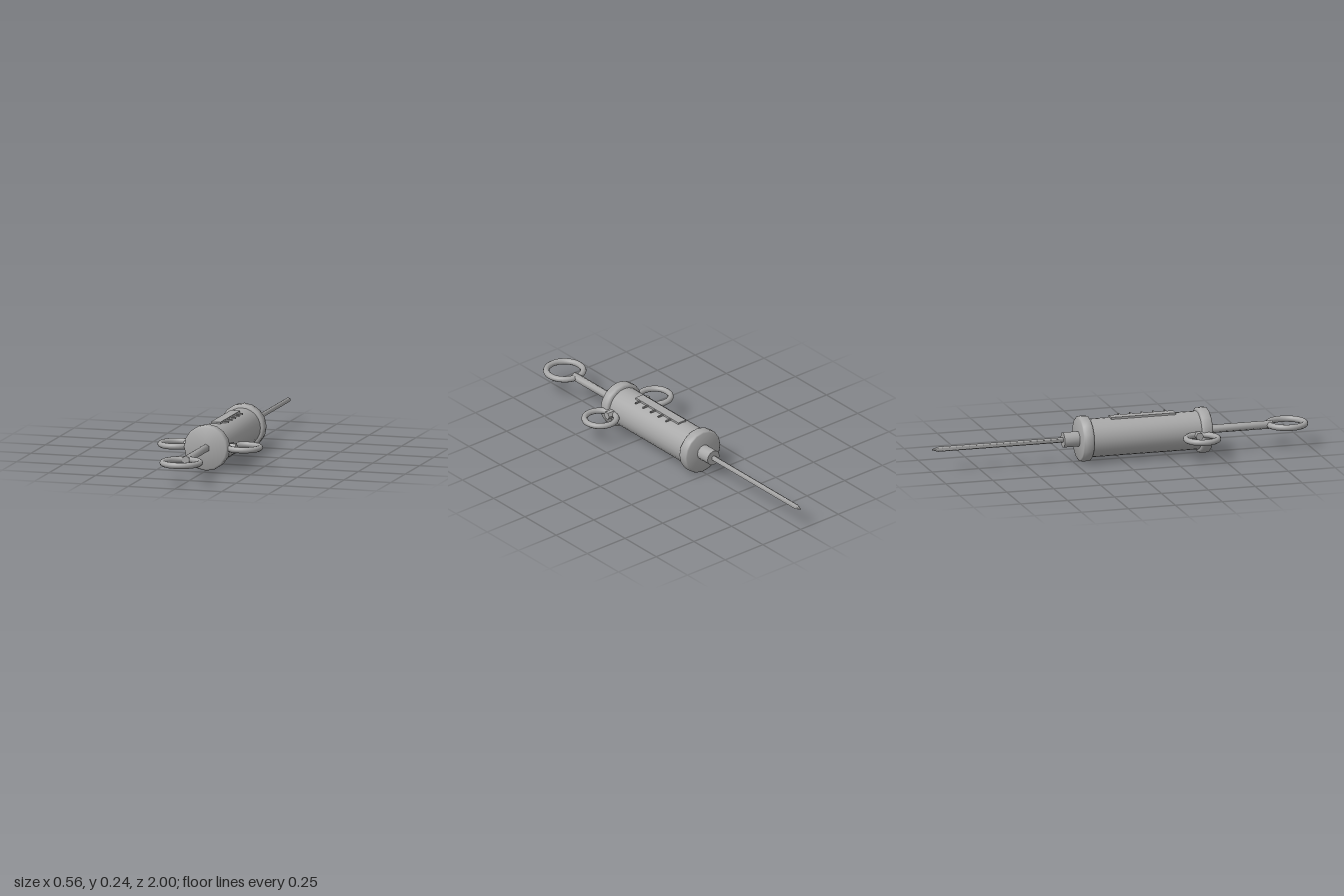
import * as THREE from 'three';
import { toCreasedNormals } from 'three/addons/utils/BufferGeometryUtils.js';

const AXIS_Y = 0.118;

export function createModel() {
  const model = new THREE.Group();
  model.name = 'syringe';
  const grey = new THREE.MeshStandardMaterial({ color: 0xa8a8a8 });
  grey.name = 'grey metal';

  const add = (name, geometry, x = 0, y = AXIS_Y, z = 0) => {
    const mesh = new THREE.Mesh(geometry, grey);
    mesh.name = name;
    mesh.position.set(x, y, z);
    model.add(mesh);
    return mesh;
  };

  // Turned part along z, from [radius, z] pairs in rising z
  const turned = (name, profile, sides) => {
    const points = profile.map(([r, z]) => new THREE.Vector2(r, z));
    const geometry = new THREE.LatheGeometry(points, sides).rotateX(Math.PI / 2);
    return add(name, toCreasedNormals(geometry, 1.1));
  };

  // Flange with softened rims
  const flange = (name, z0, z1) => turned(name, [
    [0, z0], [0.108, z0], [0.115, z0 + 0.004], [0.118, z0 + 0.011],
    [0.118, z1 - 0.011], [0.115, z1 - 0.004], [0.108, z1], [0, z1],
  ], 16);

  // Ring lying flat
  const ring = (name, x, z, radius, tube) =>
    add(name, new THREE.TorusGeometry(radius, tube, 10, 32).rotateX(Math.PI / 2), x, AXIS_Y, z);

  // Barrel and end flanges
  turned('barrel', [[0, -0.19], [0.099, -0.19], [0.099, 0.44], [0, 0.44]], 24);
  flange('frontFlange', -0.222, -0.165);
  flange('rearFlange', 0.41, 0.467);

  // Nozzle and pointed needle
  turned('nozzle', [[0, -0.303], [0.04, -0.303], [0.04, -0.2], [0, -0.2]], 12);
  turned('needle', [[0, -1], [0.003, -1], [0.0135, -0.965], [0.0135, -0.29], [0, -0.29]], 6);

  // Plunger rod and thumb ring
  turned('plungerRod', [[0, 0.45], [0.022, 0.45], [0.022, 0.812], [0, 0.812]], 6);
  ring('thumbRing', 0, 0.889, 0.095, 0.016);

  // Finger rings with their short mounts
  for (const side of [1, -1]) {
    const label = side > 0 ? 'left' : 'right';
    ring(label + 'FingerRing', side * 0.18, 0.386, 0.082, 0.0155);
    const mount = new THREE.CylinderGeometry(0.021, 0.021, 0.06, 6).rotateZ(Math.PI / 2);
    add(label + 'RingMount', toCreasedNormals(mount, 0.8), side * 0.109, AXIS_Y, 0.386);
  }

  // Gauge strip and graduation ticks
  add('gaugeStrip', new THREE.BoxGeometry(0.05, 0.012, 0.344), 0, 0.218, 0.12);
  for (let i = 0; i < 5; i++) {
    add('graduationTick', new THREE.BoxGeometry(0.038, 0.008, 0.007), 0.039, 0.219, 0.01 + i * 0.061);
  }

  return model;
}
